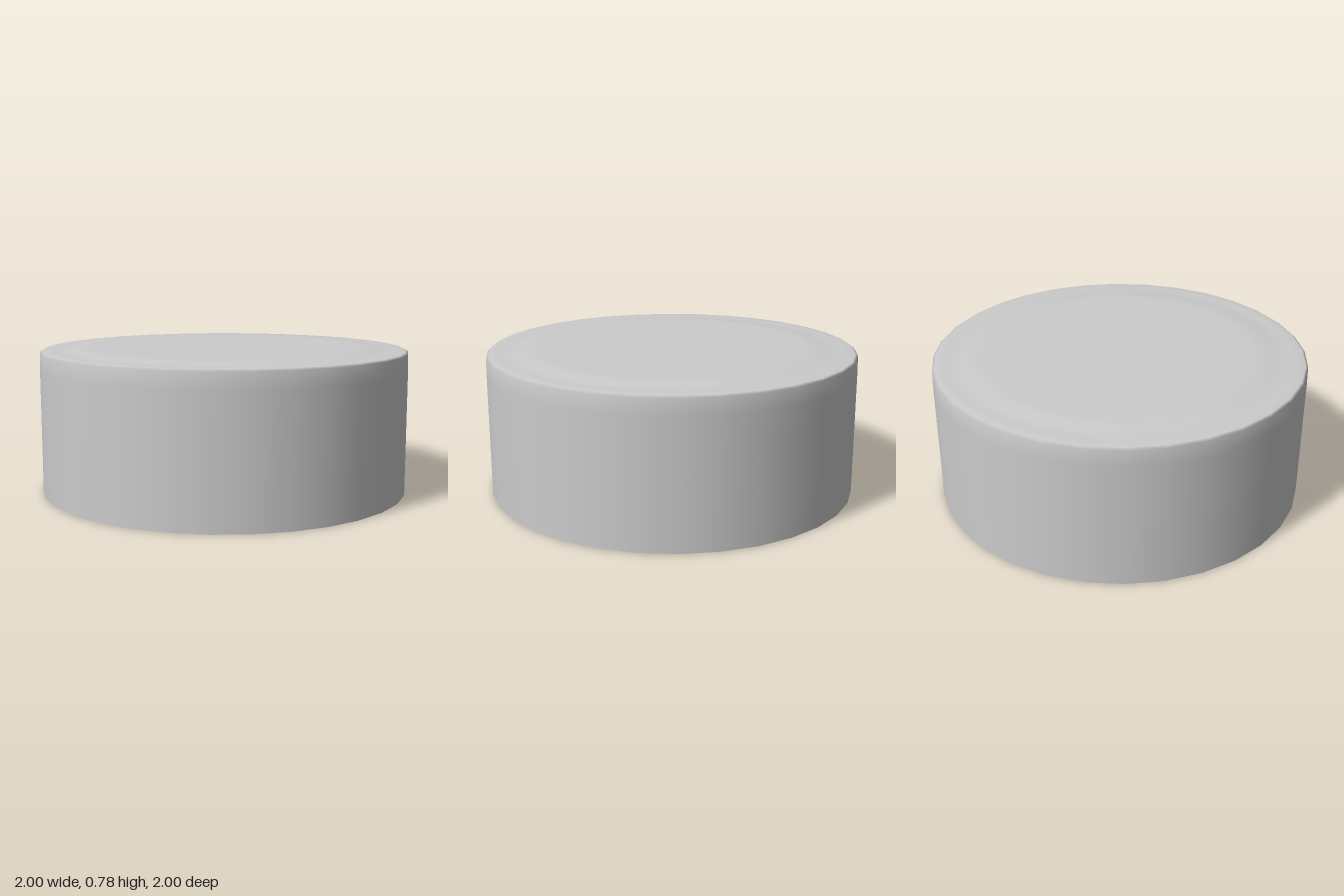
import * as THREE from 'three';

export function createModel() {
  const group = new THREE.Group();
  group.name = 'cap';
  const material = new THREE.MeshStandardMaterial({ color: 0xcccccc, side: THREE.DoubleSide });

  // Thin shell, open below: [radius, height] from the bottom rim to the top centre
  const profile = [
    [1, 0], [1, 0.67], [0.998, 0.757], [0.985, 0.767], // wall and tight shoulder
    [0.93, 0.767], [0.84, 0.767],                      // flat rim
    [0.81, 0.78], [0.72, 0.78], [0, 0.78],             // step up to the raised panel
  ].map(([r, y]) => new THREE.Vector2(r, y));

  const shell = new THREE.Mesh(new THREE.LatheGeometry(profile, 32), material);
  shell.name = 'capShell';
  group.add(shell);
  return group;
}
